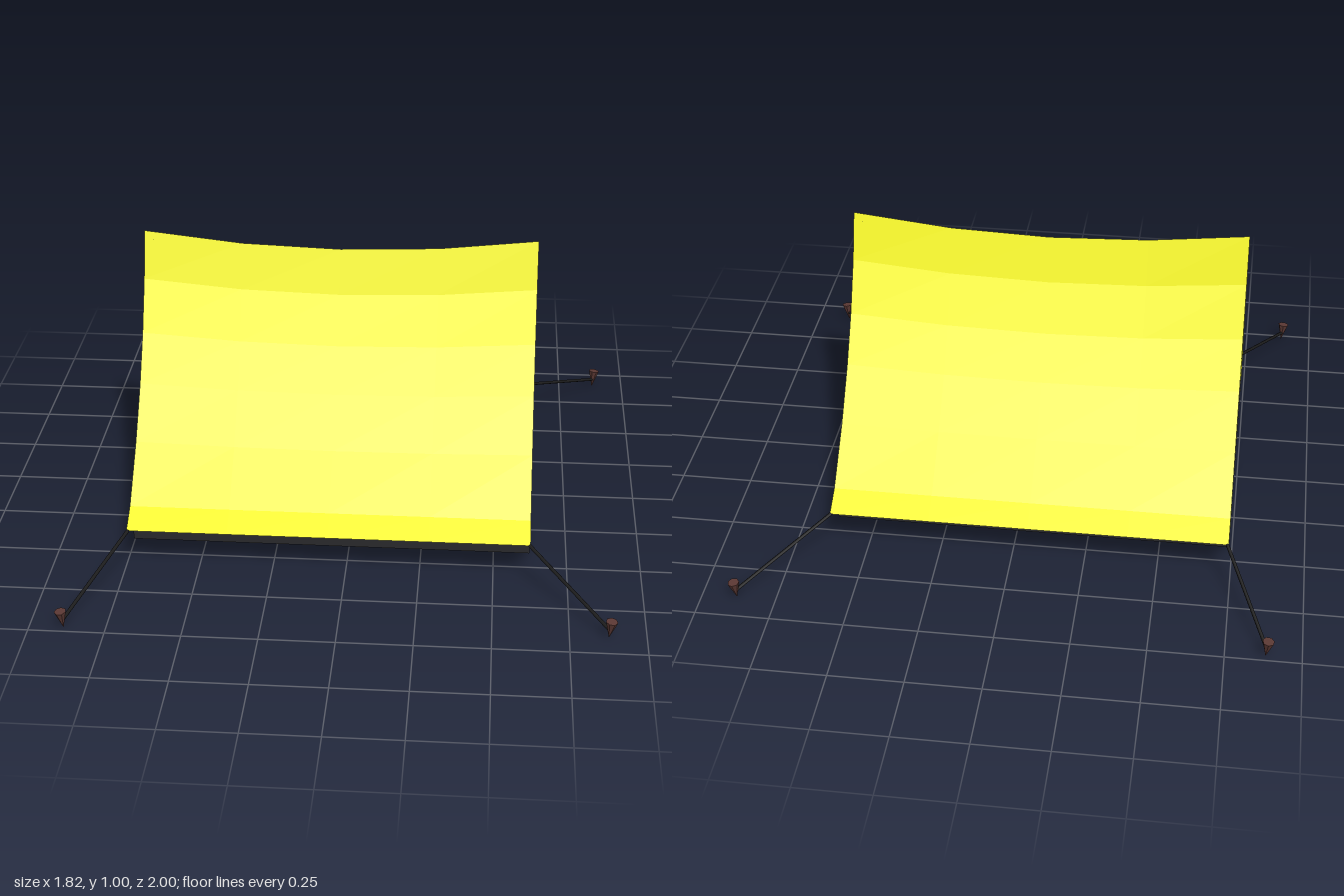
import * as THREE from 'three';

const X0 = -0.74, X1 = 0.622;
const cloth = (color) => new THREE.MeshStandardMaterial({ color, flatShading: true, side: THREE.DoubleSide });
const yellow = cloth(0xf4f40e);
const dark = cloth(0x303032);
const blue = cloth(0x4a78c8);
const rope = new THREE.MeshStandardMaterial({ color: 0x1c1c1c });
const brown = new THREE.MeshStandardMaterial({ color: 0x5a3833, flatShading: true });

// Half profile of the tent as [z, y], from the ridge to the eave
const roofHalf = [[0, 1], [0.05, 0.84], [0.13, 0.67], [0.225, 0.52], [0.355, 0.36], [0.52, 0.2]];
const doorHalf = [[0, 0.84], [0.06, 0.67], [0.15, 0.52], [0.275, 0.37], [0.42, 0.23], [0.4, 0.147]];

// Mirrors a half profile across z = 0
const mirror = (half) => [
  ...half.slice().reverse().map(([z, y]) => [-z, y]),
  ...half.filter(([z]) => z > 0),
];

function add(parent, name, geometry, material) {
  const mesh = new THREE.Mesh(geometry, material);
  mesh.name = name;
  parent.add(mesh);
  return mesh;
}

// Sweeps an open [z, y] profile along x; sag lowers the upper points mid-span
function sweep(profile, segments = 1, sag = 0) {
  const pos = [], index = [], n = profile.length;
  for (let i = 0; i <= segments; i++) {
    const t = i / segments;
    for (const [z, y] of profile) {
      const drop = sag * 4 * t * (1 - t) * Math.max(0, (y - 0.2) / 0.8);
      pos.push(X0 + (X1 - X0) * t, y - drop, z);
    }
  }
  for (let i = 0; i < segments; i++) {
    for (let j = 0; j < n - 1; j++) {
      const a = i * n + j, b = a + n;
      index.push(a, a + 1, b, b, a + 1, b + 1);
    }
  }
  const g = new THREE.BufferGeometry();
  g.setAttribute('position', new THREE.Float32BufferAttribute(pos, 3));
  g.setIndex(index);
  g.computeVertexNormals();
  return g;
}

// Flat panel across the tent at a given x, with an optional opening
function panel(x, outline, hole) {
  const toVec = ([z, y]) => new THREE.Vector2(z, y);
  const shape = new THREE.Shape(outline.map(toVec));
  if (hole) shape.holes.push(new THREE.Path(hole.map(toVec)));
  return new THREE.ShapeGeometry(shape).rotateY(-Math.PI / 2).translate(x, 0, 0);
}

// Thin round bar between two points
function bar(a, b, radius) {
  const path = new THREE.LineCurve3(new THREE.Vector3(...a), new THREE.Vector3(...b));
  return new THREE.TubeGeometry(path, 1, radius, 6);
}

export function createModel() {
  const tent = new THREE.Group();
  tent.name = 'tent';

  // Sagging roof with overhanging eaves
  add(tent, 'roof', sweep(mirror([...roofHalf, [0.605, 0.153]]), 4, 0.05), yellow);

  // Low side walls under the eaves
  for (const s of [-1, 1]) {
    add(tent, 'sideWall', sweep([[0.52 * s, 0.2], [0.493 * s, 0.105]]), yellow);
  }

  // Closed end and open doorway end
  const endOutline = mirror([...roofHalf, [0.493, 0.105]]);
  add(tent, 'closedEnd', panel(X1, endOutline), yellow);
  add(tent, 'doorFrame', panel(X0, endOutline, mirror(doorHalf)), yellow);

  // Dark ground tray
  const trayProfile = mirror([[0.475, 0.045], [0.493, 0.105]].map((p) => p));
  const traySection = [[-0.493, 0.105], [-0.475, 0.045], [0.475, 0.045], [0.493, 0.105]];
  add(tent, 'groundTray', sweep(traySection), dark);
  for (const x of [X0, X1]) add(tent, 'trayEnd', panel(x, traySection), dark);

  // Uneven groundsheet that presses through the tray in places
  const sheet = new THREE.PlaneGeometry(X1 - X0 - 0.06, 0.87, 9, 7).rotateX(-Math.PI / 2);
  sheet.translate((X0 + X1) / 2, 0, 0);
  const p = sheet.attributes.position;
  for (let i = 0; i < p.count; i++) {
    const x = p.getX(i), z = p.getZ(i);
    const low = z > 0.05 + 0.08 * Math.sin(x * 5) || (x < -0.2 && z < -0.15);
    p.setY(i, low ? 0.0435 : 0.052);
  }
  sheet.computeVertexNormals();
  add(tent, 'groundsheet', sheet, blue);

  // Upright poles at both ends
  for (const x of [X0 + 0.03, X1 - 0.03]) {
    add(tent, 'pole', bar([x, 0.046, 0], [x, 0.97, 0], 0.009), rope);
  }

  // Guy ropes and pegs at the four corners
  const pegs = [[-0.885, -0.98], [0.885, -0.905], [-0.89, 0.98], [0.88, 0.912]];
  for (const [x, z] of pegs) {
    const corner = [x < 0 ? X0 + 0.005 : X1 - 0.003, 0.153, 0.603 * Math.sign(z)];
    add(tent, 'guyRope', bar(corner, [x, 0.033, z], 0.006), rope);
    const peg = add(tent, 'peg', new THREE.ConeGeometry(0.02, 0.066, 7).rotateX(Math.PI), brown);
    peg.position.set(x, 0.037, z);
    peg.rotation.set(0.1 * Math.sign(z), 0, -0.1 * Math.sign(x));
  }
  return tent;
}
